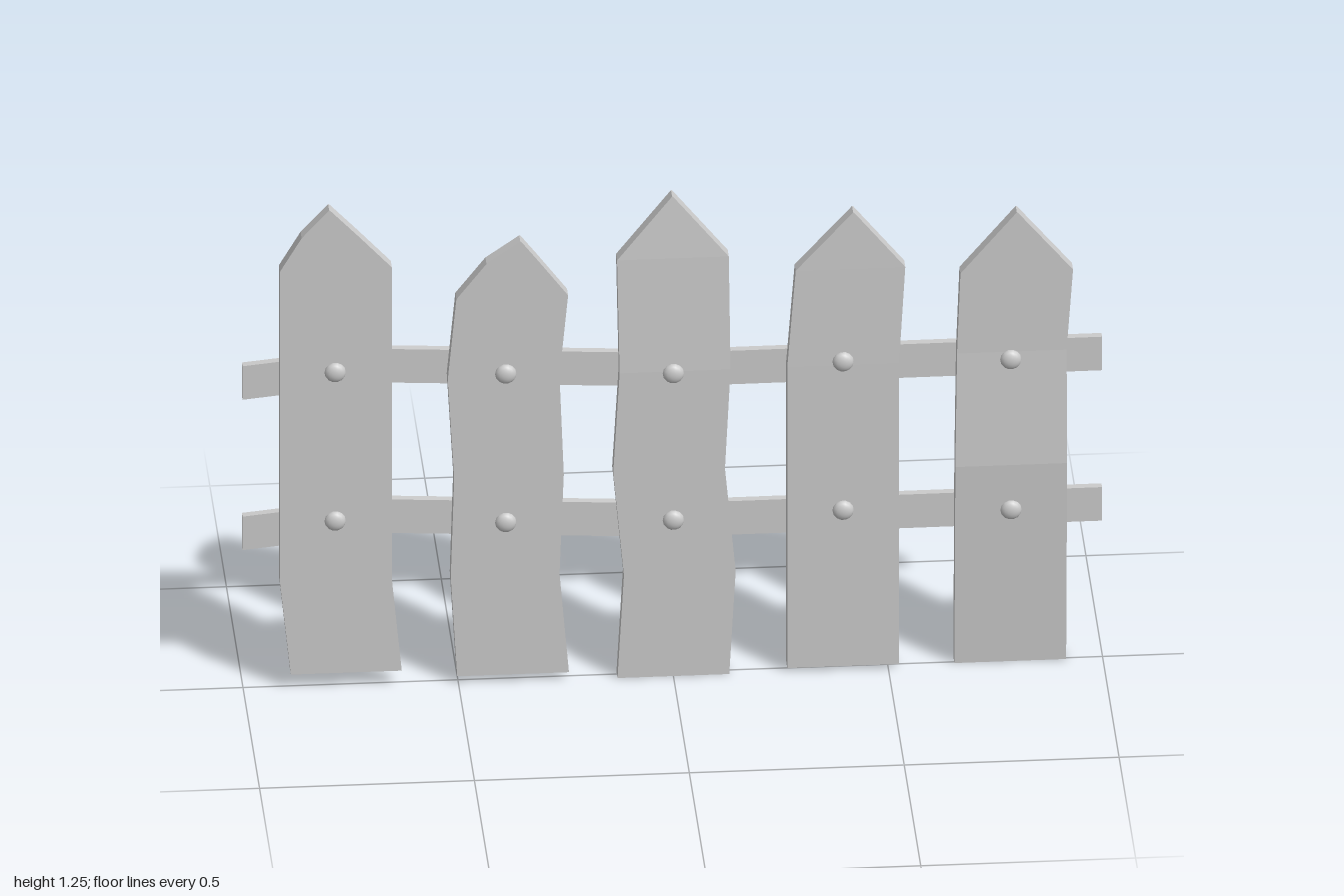
import * as THREE from 'three';

const material = new THREE.MeshStandardMaterial({ color: 0xcccccc, flatShading: true });
const smooth = new THREE.MeshStandardMaterial({ color: 0xcccccc });

// Joins four-cornered sections (counter-clockwise seen from the far end) into a closed solid
function loft(sections) {
  const index = [];
  const last = (sections.length - 1) * 4;
  for (let s = 0; s < last; s += 4) {
    for (let i = 0; i < 4; i++) {
      const a = s + i, b = s + (i + 1) % 4;
      index.push(a, b, b + 4, a, b + 4, a + 4);
    }
  }
  index.push(0, 3, 2, 0, 2, 1, last, last + 1, last + 2, last, last + 2, last + 3);
  const indexed = new THREE.BufferGeometry();
  indexed.setAttribute('position', new THREE.Float32BufferAttribute(sections.flat(2), 3));
  indexed.setIndex(index);
  const geometry = indexed.toNonIndexed();
  geometry.computeVertexNormals();
  return geometry;
}

const BOARD = 0.033;
const boardSection = ([y, left, right, z = 0.02]) => [
  [left, y, z], [right, y, z], [right, y, z - BOARD], [left, y, z - BOARD],
];

// Each picket: rows of [height, left edge, right edge, front z], bottom to tip
const pickets = [
  [[0.04, -0.89, -0.632], [0.28, -0.915, -0.655], [0.83, -0.915, -0.655],
    [1.1, -0.915, -0.655], [1.185, -0.865, -0.733], [1.255, -0.801, -0.799]],
  [[0.02, -0.503, -0.243], [0.28, -0.518, -0.265], [0.54, -0.51, -0.255], [0.8, -0.525, -0.265],
    [1.01, -0.505, -0.245], [1.1, -0.435, -0.312], [1.155, -0.356, -0.354]],
  [[0, -0.13, 0.13], [0.27, -0.115, 0.145], [0.54, -0.14, 0.12], [0.8, -0.125, 0.133],
    [1.09, -0.13, 0.13, 0.007], [1.245, -0.001, 0.001, -0.007]],
  [[0.01, 0.265, 0.525], [0.8, 0.265, 0.525], [1.05, 0.285, 0.54, 0.015], [1.195, 0.419, 0.421, 0.01]],
  [[0, 0.655, 0.915, 0.006], [0.53, 0.655, 0.915, 0.035], [0.82, 0.66, 0.915],
    [1.03, 0.668, 0.93], [1.185, 0.799, 0.801]],
];

// Nail heads per picket: [x, upper y, lower y, lower z]
const nails = [
  [-0.787, 0.83, 0.44, 0.02], [-0.39, 0.81, 0.42, 0.02], [0, 0.795, 0.41, 0.02],
  [0.395, 0.81, 0.42, 0.02], [0.785, 0.8, 0.41, 0.028],
];

// Bent rail centre line: [x, y]
const railLine = [[-1, 0.793], [-0.67, 0.825], [0, 0.787], [1, 0.789]];

export function createModel() {
  const group = new THREE.Group();
  const add = (name, geometry, mat = material) => {
    const mesh = new THREE.Mesh(geometry, mat);
    mesh.name = name;
    group.add(mesh);
    return mesh;
  };

  pickets.forEach((rows, i) => add(`picket${i + 1}`, loft(rows.map(boardSection))));

  // Two rails behind the pickets
  const railSection = ([x, y]) => [
    [x, y - 0.044, -0.013], [x, y - 0.044, -0.032], [x, y + 0.044, -0.032], [x, y + 0.044, -0.013],
  ];
  const rail = loft(railLine.map(railSection));
  add('upperRail', rail);
  add('lowerRail', rail).position.y = -0.395;

  // Domed nail heads on the front
  const dome = new THREE.SphereGeometry(0.025, 14, 5, 0, Math.PI * 2, 0, Math.PI / 2);
  dome.rotateX(Math.PI / 2);
  dome.scale(1, 1, 0.6);
  nails.forEach(([x, upper, lower, lowerZ]) => {
    add('upperNail', dome, smooth).position.set(x, upper, 0.02);
    add('lowerNail', dome, smooth).position.set(x, lower, lowerZ);
  });

  return group;
}
